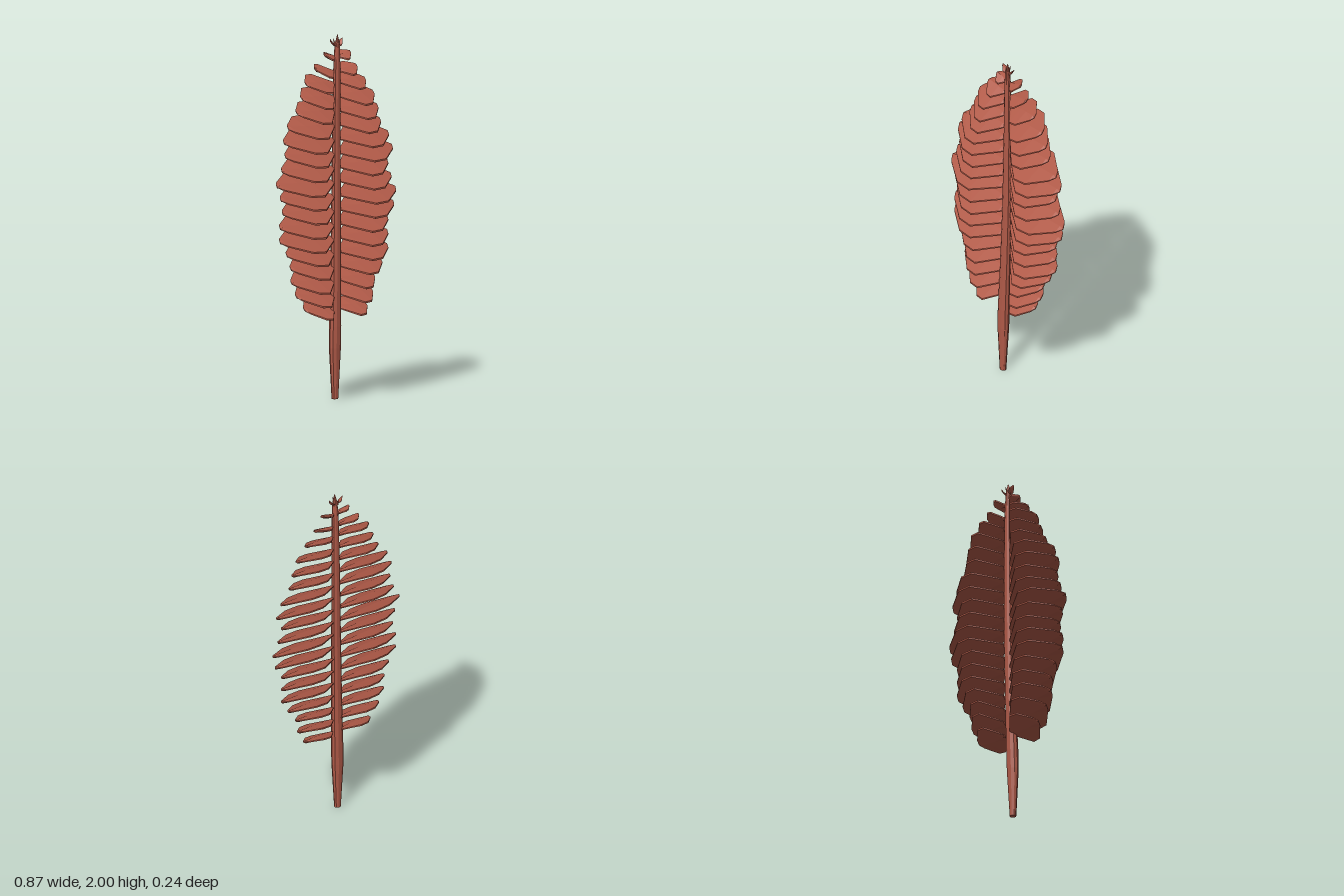
import * as THREE from 'three';

const terracotta = new THREE.MeshStandardMaterial({ color: 0xb05a48 });
terracotta.name = 'terracotta';

// Skin a list of equal-sized rings into a closed, faceted solid.
function loft(rings) {
  const n = rings[0].length, pos = [], idx = [];
  rings.forEach(r => r.forEach(p => pos.push(...p)));
  for (let i = 0; i < rings.length - 1; i++) {
    for (let j = 0; j < n; j++) {
      const a = i * n + j, b = i * n + (j + 1) % n;
      idx.push(a, a + n, b, b, a + n, b + n);
    }
  }
  const last = (rings.length - 1) * n;
  for (let j = 1; j < n - 1; j++) {
    idx.push(0, j, j + 1);
    idx.push(last, last + j + 1, last + j);
  }
  const g = new THREE.BufferGeometry();
  g.setAttribute('position', new THREE.Float32BufferAttribute(pos, 3));
  g.setIndex(idx);
  const flat = g.toNonIndexed();
  flat.computeVertexNormals();
  return flat;
}

function part(name, geometry) {
  const m = new THREE.Mesh(geometry, terracotta);
  m.name = name;
  return m;
}

// Central stem: y, centre x, centre z, radius x, radius z
const STEM = [
  [0, -0.025, 0.016, 0.019, 0.017],
  [0.28, -0.024, 0.015, 0.036, 0.028],
  [0.4, -0.021, 0.014, 0.036, 0.029],
  [0.7, -0.013, 0.009, 0.032, 0.026],
  [1.05, -0.006, 0.004, 0.029, 0.023],
  [1.5, -0.002, 0.002, 0.025, 0.02],
  [1.85, 0, 0.004, 0.02, 0.017],
  [1.95, 0.001, 0.006, 0.014, 0.014],
  [2, 0.002, 0.007, 0.002, 0.002],
];
function stemGeometry() {
  return loft(STEM.map(([y, cx, cz, rx, rz]) => Array.from({ length: 10 }, (_, k) => {
    const a = k / 10 * Math.PI * 2;
    return [cx + rx * Math.cos(a), y, cz + rz * Math.sin(a)];
  })));
}

// Leaflet outline: fraction of length, fraction of half width, fraction of thickness
const OUTLINE = [
  [0, 0.1, 0.6], [0.07, 0.27, 0.8], [0.4, 0.98, 1], [0.63, 0.94, 1], [0.94, 0.3, 0.75], [1, 0.04, 0.35],
];
const TILT = 0.45;

// A flat lens-shaped blade that slopes down towards the front.
function leafletGeometry(side, length, tipY, width, rise, thick) {
  const rootX = Math.min(0.024, length * 0.15);
  const section = [[1, 0.35], [0, 1], [-1, 0.35], [-1, -0.35], [0, -1], [1, -0.35]];
  if (side < 0) section.reverse();
  return loft(OUTLINE.map(([t, w, h]) => {
    const x = side * (rootX + t * (length - rootX));
    const y = tipY - rise * (1 - t * t);
    return section.map(([sz, sy]) => {
      const z = sz * w * width;
      return [x, y + sy * h * thick - z * TILT, z];
    });
  }));
}

// Tip reach of each leaflet on the two sides, from the lowest pair upwards
const REACH = {
  left: [0.215, 0.255, 0.27, 0.325, 0.37, 0.37, 0.37, 0.415, 0.43, 0.395,
    0.37, 0.405, 0.375, 0.315, 0.295, 0.265, 0.205, 0.145, 0.1],
  right: [0.23, 0.29, 0.325, 0.33, 0.36, 0.41, 0.41, 0.39, 0.405, 0.435,
    0.395, 0.37, 0.38, 0.35, 0.285, 0.25, 0.22, 0.155, 0.09],
};

export function createModel() {
  const model = new THREE.Group();
  model.name = 'frond';
  model.add(part('stem', stemGeometry()));

  for (const [name, side] of [['left', 1], ['right', -1]]) {
    const row = new THREE.Group();
    row.name = name + 'Leaflets';
    REACH[name].forEach((reach, i) => {
      const y = 0.503 + i * 0.0776;
      const width = Math.min(0.43 * reach, 0.092 + 0.07 * reach);
      const rise = reach < 0.18 ? 0.022 : 0.008;
      row.add(part('leaflet', leafletGeometry(side, reach, y, width, rise, 0.013)));
    });
    // Small curled bud leaf at the tip
    row.add(part('budLeaf', leafletGeometry(side, 0.045, 1.978, 0.016, 0.036, 0.007)));
    model.add(row);
  }

  // Pair of tiny buds in front of and behind the tip
  for (const s of [1, -1]) {
    const bud = part('bud', new THREE.ConeGeometry(0.008, 0.04, 5));
    bud.position.set(s * 0.004, 1.96, s * 0.014);
    bud.rotation.x = s * 0.4;
    model.add(bud);
  }
  return model;
}
